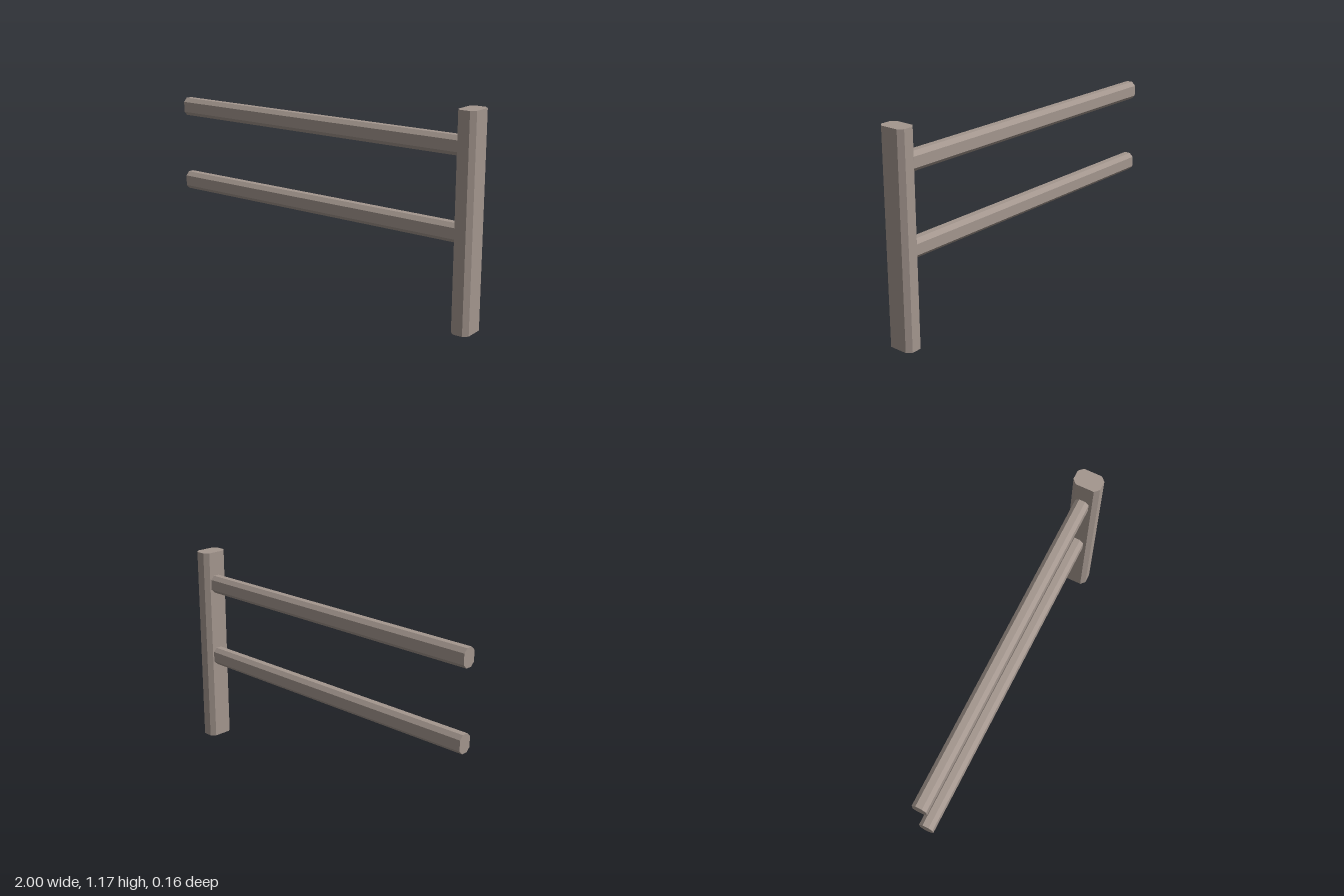
import * as THREE from 'three';

// Bar with a chamfered rectangular section, extruded along +z from 0
function chamferedBar(w, h, cut, length, material, name) {
  const x = w / 2, y = h / 2;
  const section = new THREE.Shape([
    [x - cut, -y], [x, -y + cut], [x, y - cut], [x - cut, y],
    [-x + cut, y], [-x, y - cut], [-x, -y + cut], [-x + cut, -y],
  ].map(([a, b]) => new THREE.Vector2(a, b)));
  const geometry = new THREE.ExtrudeGeometry(section, { depth: length, bevelEnabled: false });
  const mesh = new THREE.Mesh(geometry, material);
  mesh.name = name;
  return mesh;
}

export function createModel() {
  const group = new THREE.Group();
  group.name = 'fenceSection';
  const wood = new THREE.MeshStandardMaterial({ color: 0xa3968e });
  wood.name = 'weathered wood';

  // Upright post at the left end
  const post = chamferedBar(0.105, 0.156, 0.025, 1.17, wood, 'post');
  post.rotation.x = -Math.PI / 2;
  post.position.set(0.9475, 0, 0);
  group.add(post);

  // Two rails running from the post to the open end
  [['lowerRail', 0.523], ['upperRail', 0.977]].forEach(([name, y]) => {
    const rail = chamferedBar(0.08, 0.104, 0.022, 1.897, wood, name);
    rail.rotation.y = Math.PI / 2;
    rail.position.set(-1, y, -0.005);
    group.add(rail);
  });

  return group;
}
